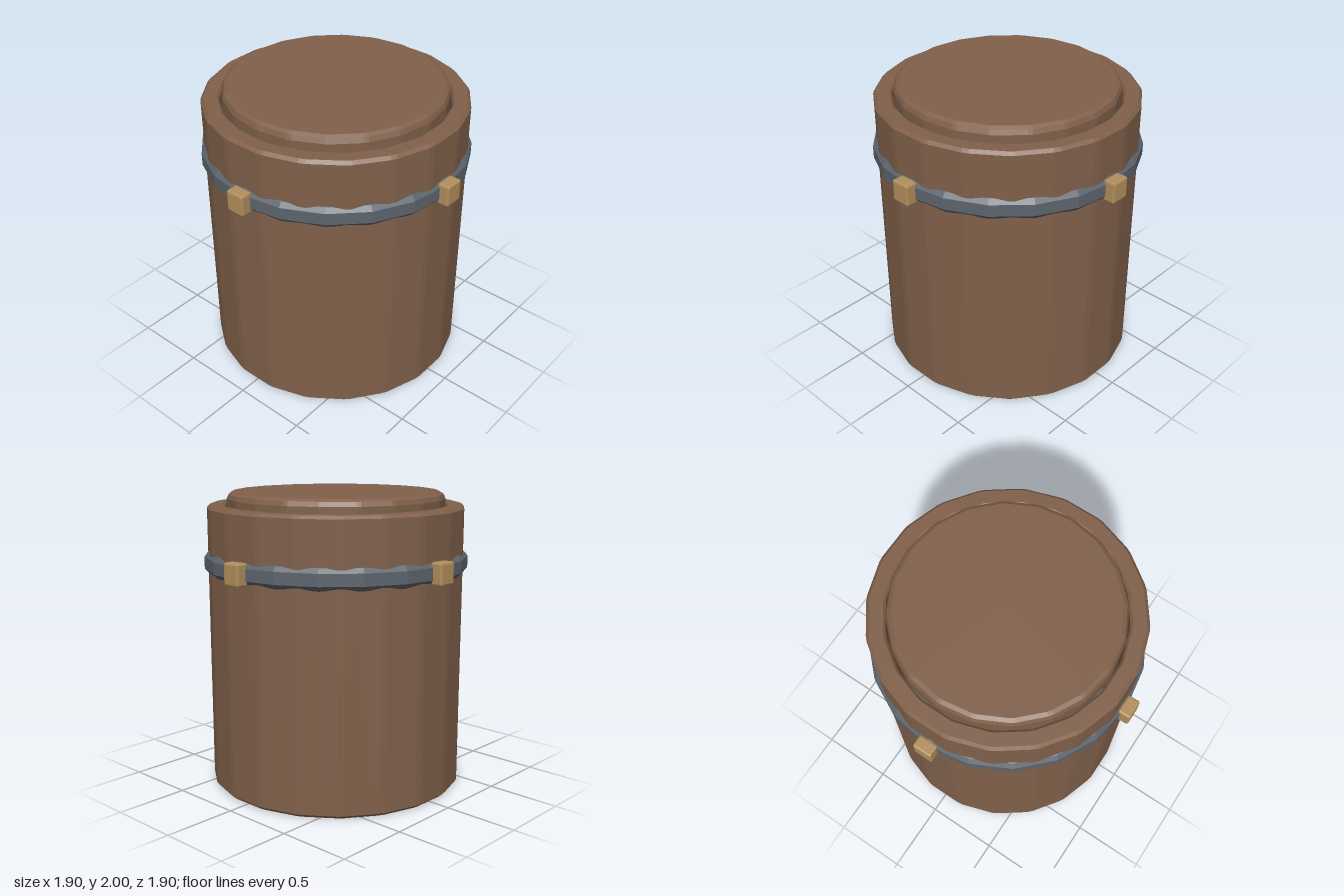
import * as THREE from 'three';
import { RoundedBoxGeometry } from 'three/addons/geometries/RoundedBoxGeometry.js';

const SIDES = 20;
const STEP = (Math.PI * 2) / SIDES;

const material = (name, color) => {
  const m = new THREE.MeshStandardMaterial({ color });
  m.name = name;
  return m;
};

// Give every face its own flat normal
function faceted(geometry) {
  const flat = geometry.toNonIndexed();
  flat.computeVertexNormals();
  return flat;
}

const profilePoints = (pairs) => pairs.map(([r, y]) => new THREE.Vector2(r, y));

// Twenty-sided turned solid whose upright edges are chamfered
function chamferedLathe(pairs, offset, chamfer) {
  const points = profilePoints(pairs);
  const geometry = new THREE.LatheGeometry(points, SIDES * 2);
  const pos = geometry.attributes.position;
  const half = STEP / 2;
  const shrink = Math.cos(half) / Math.cos(half - chamfer);
  for (let i = 0; i <= SIDES * 2; i++) {
    const angle = Math.floor(i / 2) * STEP + offset + (i % 2 ? chamfer : -chamfer);
    points.forEach((p, j) => {
      const r = p.x * shrink;
      pos.setXYZ(i * points.length + j, r * Math.sin(angle), p.y, r * Math.cos(angle));
    });
  }
  return faceted(geometry);
}

export function createModel() {
  const group = new THREE.Group();
  group.name = 'barrel';
  const wood = material('brown wood', 0x80604a);
  const metal = material('grey metal', 0x5c646c);
  const brass = material('brass', 0xb28f5c);

  const add = (name, geometry, mat) => {
    const mesh = new THREE.Mesh(geometry, mat);
    mesh.name = name;
    group.add(mesh);
    return mesh;
  };

  // Hollow body, open at both ends
  add('body', chamferedLathe([
    [0.852, 0], [0.872, 0.02], [0.872, 1.895], [0.852, 1.915],
    [0.765, 1.915], [0.75, 1.9], [0.75, 0.015], [0.765, 0], [0.852, 0],
  ], STEP / 2, 0.024), wood);

  // Lid plugged into the top
  add('lid', chamferedLathe([
    [0, 1.8], [0.71, 1.8], [0.738, 1.83], [0.738, 1.955], [0.725, 1.985], [0.7, 2], [0, 2],
  ], 0, 0.02), wood);

  // Floor set up inside the base
  const floor = add('floor', faceted(new THREE.CylinderGeometry(0.745, 0.745, 0.06, SIDES)), metal);
  floor.position.y = 0.25;

  // Faceted hoop, its corners midway along the body's faces
  const hoop = add('hoop', faceted(new THREE.LatheGeometry(profilePoints([
    [0.80, -0.085], [0.84, -0.085], [0.868, -0.07], [0.894, -0.04],
    [0.894, 0.04], [0.868, 0.07], [0.84, 0.085], [0.80, 0.085],
  ]), SIDES)), metal);
  hoop.position.y = 1.535;

  // Four clips around the hoop
  for (let i = 0; i < 4; i++) {
    const angle = (i * Math.PI) / 2;
    const clip = add('clip', faceted(new RoundedBoxGeometry(0.132, 0.145, 0.085, 1, 0.012)), brass);
    clip.position.set(Math.sin(angle) * 0.9075, 1.535, Math.cos(angle) * 0.9075);
    clip.rotation.y = angle;
  }

  return group;
}
